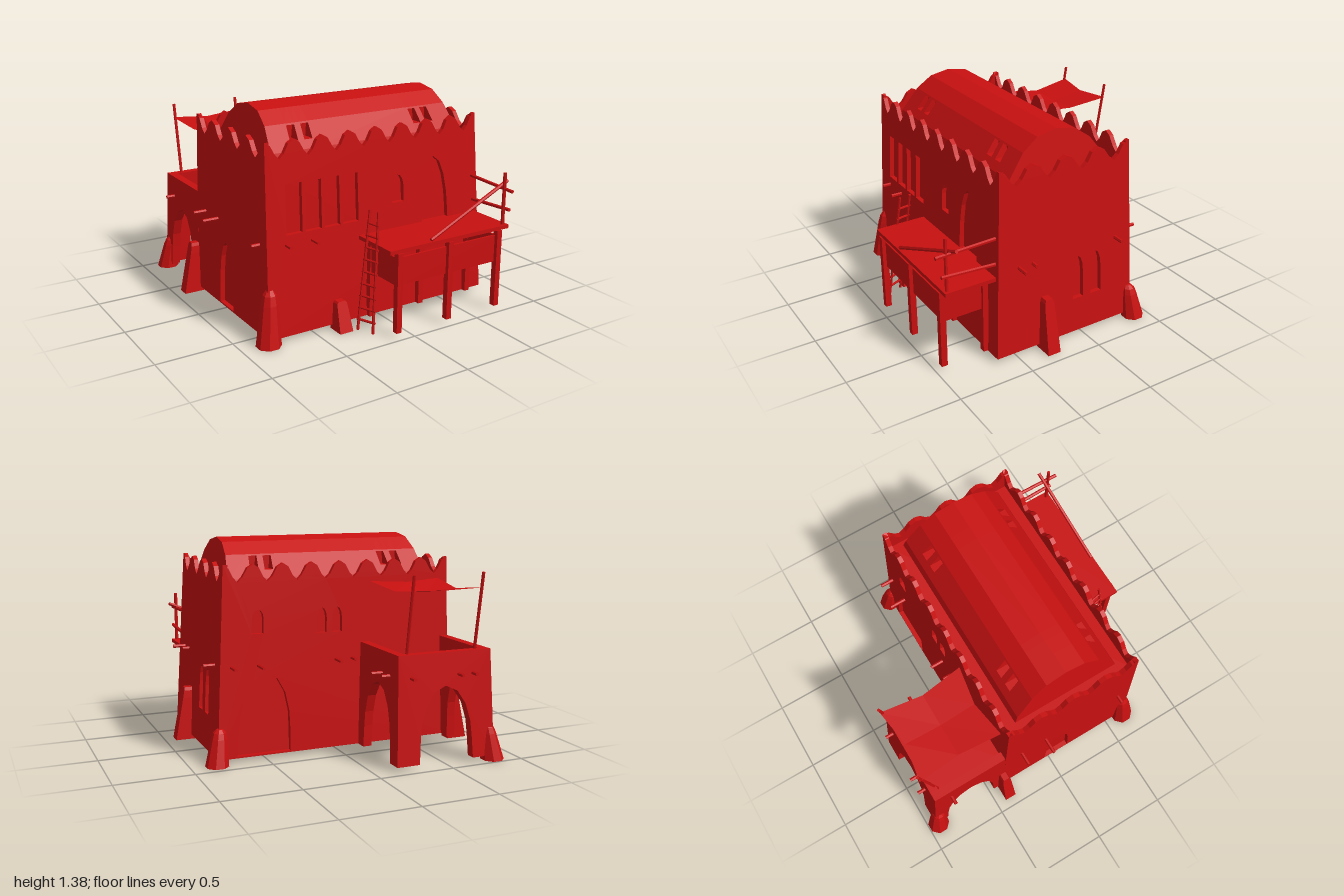
import * as THREE from 'three';

const V = (x, y, z) => new THREE.Vector3(x, y, z);
const mat = new THREE.MeshStandardMaterial({ color: 0xc81010, flatShading: true, side: THREE.DoubleSide });

// Move every vertex of a geometry by a rule
function bend(geo, rule) {
  const p = geo.attributes.position;
  const v = V(0, 0, 0);
  for (let i = 0; i < p.count; i++) {
    rule(v.fromBufferAttribute(p, i));
    p.setXYZ(i, v.x, v.y, v.z);
  }
  geo.computeVertexNormals();
  return geo;
}

const shapeOf = (pts) => new THREE.Shape(pts.map(([x, y]) => new THREE.Vector2(x, y)));
const extrude = (shape, depth) => new THREE.ExtrudeGeometry(shape, { depth, bevelEnabled: false });

// Arch outline, from the bottom left over the apex to the bottom right
const BROAD = [[1, 0], [0.97, 0.3], [0.93, 0.5], [0.76, 0.74], [0.45, 0.92]];
const SLIM = [[1, 0], [1, 0.6], [0.87, 0.8], [0.5, 0.95]];
function archPoints(cx, y0, w, h, half = BROAD) {
  const at = (s) => ([u, v]) => [cx + s * u * w / 2, y0 + v * h];
  return [...half.map(at(-1)), [cx, y0 + h], ...half.map(at(1)).reverse()];
}
const rectPoints = (cx, y0, w, h) =>
  [[cx - w / 2, y0], [cx - w / 2, y0 + h], [cx + w / 2, y0 + h], [cx + w / 2, y0]];

export function createModel() {
  const root = new THREE.Group();
  const add = (name, geo) => {
    const mesh = new THREE.Mesh(geo, mat);
    mesh.name = name;
    root.add(mesh);
    return mesh;
  };
  const box = (name, x0, x1, y0, y1, z0, z1) => add(name,
    new THREE.BoxGeometry(x1 - x0, y1 - y0, z1 - z0).translate((x0 + x1) / 2, (y0 + y1) / 2, (z0 + z1) / 2));
  const rod = (name, a, b, r = 0.012, sides = 6) => {
    const m = add(name, new THREE.CylinderGeometry(r, r, a.distanceTo(b), sides));
    m.position.copy(a).lerp(b, 0.5);
    m.quaternion.setFromUnitVectors(V(0, 1, 0), b.clone().sub(a).normalize());
  };

  // Main hall: four battered walls with scalloped battlements and shallow niches
  const BASE = 0.03, CZ = 0.127, THICK = 0.032;
  const hallTaper = (v) => {
    const t = (v.y - BASE) / 1.215;
    v.x = v.x * (1 - 0.053 * t) - 0.02 * t;
    v.z = CZ - 0.01 * t + (v.z - CZ) * (1 - 0.095 * t);
  };
  const scallop = [[0, 1.135], [0.15, 1.165], [0.31, 1.222], [0.5, 1.245], [0.69, 1.222], [0.85, 1.165]];
  function hallWall(name, half, humps, dist, angle, holes) {
    const step = 2 * half / (humps + 1);
    const top = [];
    for (let i = -1; i <= humps; i++)
      for (const [f, y] of scallop) {
        const x = -half + step * (i + 0.5 + f);
        if (x > -half - 1e-6 && x < half + 1e-6) top.push([x, y]);
      }
    const shape = shapeOf([[half, BASE], ...top.reverse(), [-half, BASE]]);
    shape.holes = holes.map((c) => new THREE.Path(c.map(([x, y]) => new THREE.Vector2(x, y))));
    const place = (geo) => bend(geo.translate(0, 0, dist - THICK).rotateY(angle).translate(0, 0, CZ), hallTaper);
    add(name, place(extrude(shape, THICK)));
    add(name + 'Backing', place(new THREE.ShapeGeometry(shapeOf(rectPoints(0, BASE, 2 * half - 0.04, 1.05)))));
  }
  hallWall('frontWall', 0.825, 7, 0.515, 0, [
    ...[-0.63, -0.49, -0.355, -0.215].map((x) => rectPoints(x, 0.67, 0.115, 0.31)),
    archPoints(0.155, 0.74, 0.093, 0.18, SLIM), archPoints(0.455, 0.5, 0.22, 0.5)]);
  hallWall('backWall', 0.825, 7, 0.515, Math.PI, [
    archPoints(-0.52, 0.04, 0.36, 0.52), archPoints(-0.58, 0.81, 0.08, 0.15, SLIM),
    archPoints(-0.13, 0.79, 0.07, 0.16, SLIM), archPoints(-0.02, 0.79, 0.07, 0.16, SLIM)]);
  hallWall('leftWall', 0.515, 3, 0.825, Math.PI / 2,
    [archPoints(0.09, 0.265, 0.08, 0.295, SLIM), archPoints(0.232, 0.265, 0.08, 0.295, SLIM)]);
  hallWall('rightWall', 0.515, 3, 0.825, -Math.PI / 2, [archPoints(-0.065, 0.04, 0.19, 0.44)]);
  box('roofDeck', -0.77, 0.73, 1.06, 1.08, -0.33, 0.56);

  // Barrel roof, made in slices so that the skylight slices can be notched
  const arc = [[0.37, 1.08], [0.35, 1.14], [0.24, 1.285], [0.135, 1.36], [0, 1.385]];
  const notch = [[0.312, 1.19], [0.225, 1.19], [0.225, 1.275], [0.248, 1.275]];
  const notched = [arc[0], arc[1], ...notch, ...arc.slice(2)];
  const cuts = [-0.71, -0.56, -0.502, -0.458, -0.4, 0.385, 0.443, 0.485, 0.543, 0.7];
  for (let i = 0; i < cuts.length - 1; i++) {
    const side = i % 2 ? notched : arc;
    const mirror = side.slice(0, -1).reverse().map(([z, y]) => [-z, y]);
    const geo = extrude(shapeOf([...side, ...mirror]), cuts[i + 1] - cuts[i]);
    geo.rotateY(-Math.PI / 2).translate(cuts[i + 1], 0, 0.125);
    add(i % 2 ? 'skylightSlice' : 'barrelRoof', bend(geo, (v) => { v.x *= 1 - 0.2 * (v.y - 1.08); }));
  }

  // Rear porch: three arched walls carrying a walled terrace
  const PX = -0.485, PZ = -0.37;
  const porchTaper = (v) => {
    const t = (v.y - BASE) / 0.68;
    v.x = PX + (v.x - PX) * (1 - 0.06 * t);
    v.z = PZ + (v.z - PZ) * (1 - 0.085 * t);
  };
  function porchWall(name, half, cx, angle, x, z) {
    const shape = shapeOf([[-half, BASE], ...archPoints(cx, BASE, 0.38, 0.475), [half, BASE], [half, 0.712], [-half, 0.712]]);
    add(name, bend(extrude(shape, 0.06).translate(0, 0, -0.06).rotateY(angle).translate(x, 0, z), porchTaper));
  }
  porchWall('porchBackWall', 0.345, 0, Math.PI, PX, -0.945);
  porchWall('porchLeftWall', 0.285, 0, Math.PI / 2, -0.14, -0.655);
  porchWall('porchRightWall', 0.285, 0, -Math.PI / 2, -0.83, -0.655);
  box('terraceFloor', -0.78, -0.19, 0.55, 0.58, -0.86, -0.36);

  // Sagging, folded awning on two leaning poles
  const awning = new THREE.PlaneGeometry(2, 2, 2, 2).rotateX(-Math.PI / 2);
  add('awning', bend(awning, (v) => {
    const { x: u, z: w } = v;
    v.x = -0.48 + u * (0.25 - 0.03 * (1 - w * w));
    v.z = -0.645 + w * (0.285 - 0.04 * (1 - u * u));
    v.y = 1.105 - 0.035 * (1 - w * w) - 0.012 * (1 - u * u);
  }));
  for (const x of [-0.24, -0.72]) rod('awningPole', V(x, 0.57, -0.83), V(x, 1.2, -0.93), 0.01);

  // Buttresses against the walls, leaning in towards the top
  function buttress(x, z, angle, w, d, h) {
    const half = [[0.5, 0], [0.4, 0.8], [0.36, 0.94], [0.26, 1]];
    const pts = [...half, ...half.map(([u, v]) => [-u, v]).reverse()].map(([u, v]) => [u * w, v * h]);
    const geo = bend(extrude(shapeOf(pts), d), (v) => { v.z *= 1 - 0.5 * v.y / h; });
    add('buttress', geo.rotateY(angle).translate(x, 0, z));
  }
  buttress(0.79, 0.29, Math.PI / 2, 0.09, 0.14, 0.36);
  buttress(-0.80, -0.39, -Math.PI / 2, 0.08, 0.14, 0.35);
  buttress(-0.33, 0.62, 0, 0.095, 0.12, 0.19);

  // Rounded corner stumps, tapering and drawn in towards the building
  function cornerStump(x, z, sx, sz, r, h) {
    const profile = [[1, 0], [0.68, 0.72], [0.55, 0.88], [0.3, 0.97], [0, 1]];
    const geo = new THREE.LatheGeometry(profile.map(([u, v]) => new THREE.Vector2(u * r, v * h)), 8, Math.PI / 8);
    add('cornerStump', bend(geo, (v) => {
      v.x -= sx * 0.03 * v.y / h;
      v.z -= sz * 0.03 * v.y / h;
    }).translate(x, 0, z));
  }
  cornerStump(-0.825, 0.635, -1, 1, 0.08, 0.36);
  cornerStump(0.835, -0.4, 1, -1, 0.075, 0.235);
  cornerStump(-0.83, -0.925, -1, -1, 0.075, 0.235);

  // Beam ends poking out of the walls
  const stub = (x, z, dx, dz, y = 0.61) => rod('beamEnd', V(x, y, z), V(x + dx, y, z + dz));
  for (const [z, d] of [[-0.25, 0.11], [0.37, 0.08], [0.47, 0.12]]) stub(0.76, z, d, 0);
  for (const [z, d] of [[-0.24, 0.14], [-0.055, 0.16], [0.52, 0.11]]) stub(-0.76, z, -d, 0);
  for (const [x, d] of [[-0.68, 0.11], [-0.5, 0.13]]) stub(x, 0.56, 0, d);
  for (const [x, d] of [[-0.1, 0.1], [0.015, 0.13], [0.545, 0.15], [0.72, 0.13]]) stub(x, -0.33, 0, -d);
  for (const [z, d] of [[-0.79, 0.1], [-0.69, 0.12]]) stub(-0.2, z, d, 0, 0.57);
  for (const x of [-0.68, -0.58, -0.245]) stub(x, -0.85, 0, -0.11, 0.57);
  stub(-0.77, -0.78, -0.1, 0, 0.57);

  // Timber platform at the front with posts and hanging boards
  box('platform', -0.165, 0.77, 0.55, 0.575, 0.58, 0.955);
  for (const x of [-0.095, 0.293, 0.69]) {
    box('frontPost', x - 0.019, x + 0.019, BASE, 0.55, 0.925, 0.965);
    box('backPost', x - 0.019, x + 0.019, BASE, 0.55, 0.635, 0.672);
  }
  box('frontBoard', -0.09, 0.68, 0.335, 0.515, 0.925, 0.94);
  box('sideBoard', 0.675, 0.69, 0.335, 0.515, 0.65, 0.93);
  box('sideBoard', -0.105, -0.09, 0.335, 0.515, 0.65, 0.93);

  // Rough railing
  rod('railPost', V(0.74, 0.56, 0.93), V(0.74, 0.92, 0.93));
  rod('sideRail', V(0.745, 0.81, 1.0), V(0.745, 0.825, 0.55));
  rod('sideRail', V(0.755, 0.68, 0.97), V(0.755, 0.655, 0.55));
  rod('slopingRail', V(0.15, 0.585, 0.94), V(0.8, 0.85, 0.89));

  // Ladder leaning on the platform
  const rails = [[V(-0.225, 0.02, 0.87), V(-0.14, 0.77, 0.79)], [V(-0.27, 0.02, 0.77), V(-0.15, 0.77, 0.715)]];
  for (const [a, b] of rails) rod('ladderRail', a, b, 0.009);
  for (let i = 0; i < 9; i++) {
    const [p, q] = rails.map(([a, b]) => a.clone().lerp(b, 0.09 + i * 0.1));
    const over = q.clone().sub(p).multiplyScalar(0.12);
    rod('ladderRung', p.sub(over), q.add(over), 0.008);
  }
  return root;
}
